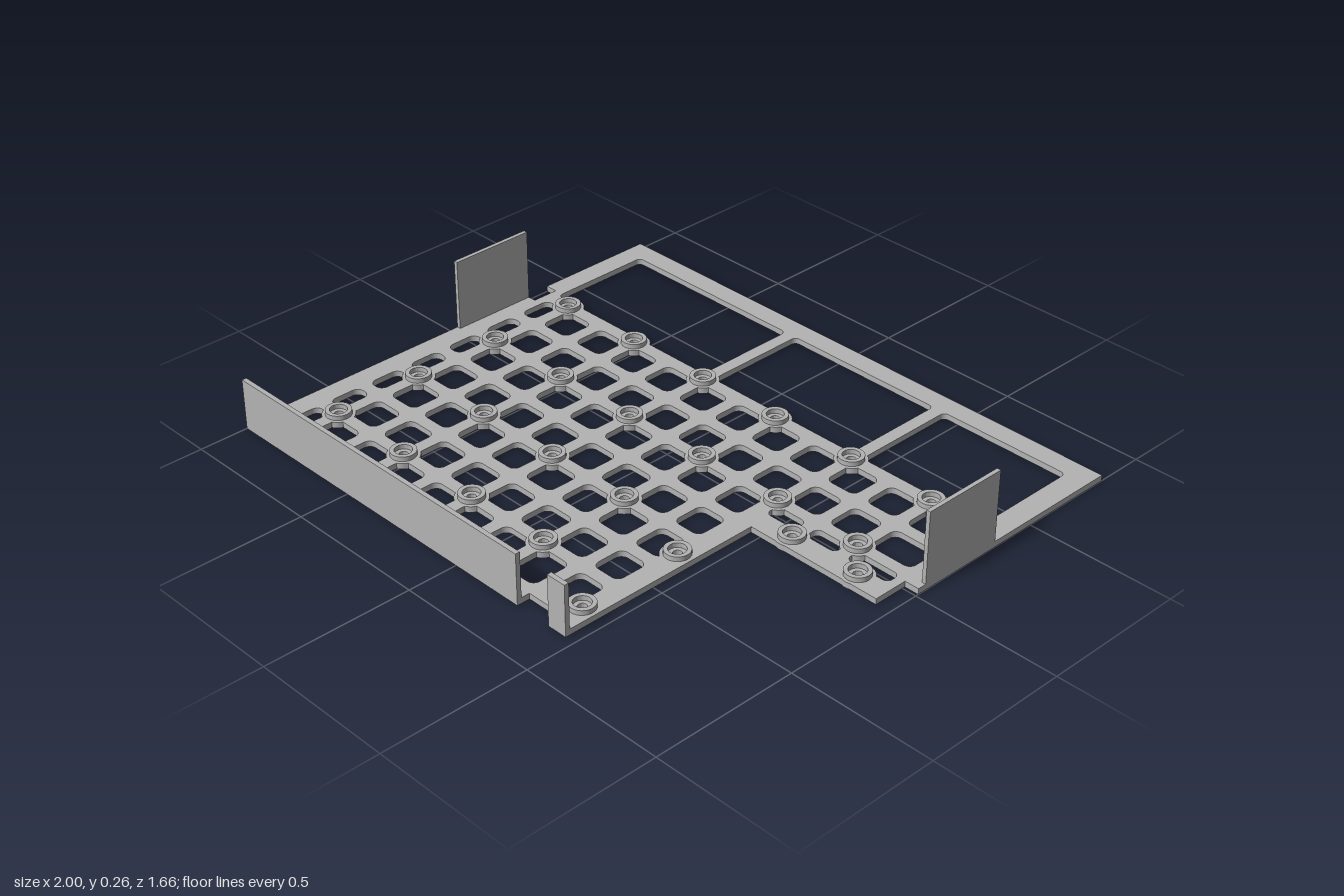
import * as THREE from 'three';
import { toCreasedNormals } from 'three/addons/utils/BufferGeometryUtils.js';

const T = 0.02; // plate thickness

// Rounded rectangular opening, given in plan (x, z)
function opening(x0, x1, z0, z1, r = 0.025) {
  const p = new THREE.Path();
  const a = -z1, b = -z0;
  p.moveTo(x0 + r, a);
  p.lineTo(x1 - r, a);
  p.absarc(x1 - r, a + r, r, -Math.PI / 2, 0);
  p.lineTo(x1, b - r);
  p.absarc(x1 - r, b - r, r, 0, Math.PI / 2);
  p.lineTo(x0 + r, b);
  p.absarc(x0 + r, b - r, r, Math.PI / 2, Math.PI);
  p.lineTo(x0, a + r);
  p.absarc(x0 + r, a + r, r, Math.PI, Math.PI * 1.5);
  return p;
}

export function createModel() {
  const group = new THREE.Group();
  const grey = new THREE.MeshStandardMaterial({ color: 0xb3b3b3 });
  grey.name = 'plain grey';

  const add = (name, geometry, x = 0, y = 0, z = 0) => {
    const mesh = new THREE.Mesh(geometry, grey);
    mesh.name = name;
    mesh.position.set(x, y, z);
    group.add(mesh);
  };

  // Screw positions (x, z): a regular grid plus four extras
  const screws = [[0.58, 0.06], [0.835, 0.06], [0.412, 0.355], [0.412, 0.72]];
  [-0.36, -0.043, 0.275, 0.592].forEach((z, row) => {
    for (let i = 0; i < (row < 2 ? 6 : 4); i++) screws.push([-0.847 + i * 0.3175, z]);
  });

  // Plate outline with notches
  const outline = [
    [-1, -0.833], [1, -0.833], [1, -0.01], [0.95, -0.01], [0.95, 0.11], [0.465, 0.11],
    [0.465, 0.83], [0.395, 0.83], [0.395, 0.785], [0.265, 0.785], [0.265, 0.83],
    [-1, 0.83], [-1, -0.31], [-0.957, -0.31], [-0.957, -0.403], [-1, -0.403],
  ];
  const shape = new THREE.Shape(outline.map(([x, z]) => new THREE.Vector2(x, -z)));

  // Large rear windows
  for (const [x0, x1] of [[-0.925, -0.235], [-0.19, 0.4], [0.445, 0.92]]) {
    shape.holes.push(opening(x0, x1, -0.76, -0.387, 0.018));
  }

  // Lattice of small openings
  const pitch = 0.1585, size = 0.114;
  for (let row = 0; row < 7; row++) {
    const z0 = -0.338 + row * pitch;
    const z1 = row === 6 ? 0.752 : z0 + size;
    const columns = row < 3 ? 11 : 8;
    for (let c = -1; c < columns; c++) {
      let x0 = -0.822 + c * pitch;
      let x1 = x0 + size;
      if (c === -1) x0 = -0.925;
      if (c === 7 && row > 1) x1 = 0.392;
      if (c === 10) x1 = 0.92;
      const shallow = row === 2 && c > 7;
      shape.holes.push(opening(x0, x1, z0, shallow ? 0.03 : z1, shallow ? 0.02 : 0.025));
    }
  }

  // Screw holes through the plate
  for (const [x, z] of screws) {
    const hole = new THREE.Path();
    hole.absarc(x, -z, 0.015, 0, Math.PI * 2);
    shape.holes.push(hole);
  }
  const plate = new THREE.ExtrudeGeometry(shape, { depth: T, bevelEnabled: false, curveSegments: 6 });
  plate.rotateX(-Math.PI / 2);
  add('latticePlate', plate);

  // Screw bosses: collar in the plate, raised ring and counterbore
  const profile = [
    [0.015, 0], [0.053, 0], [0.053, T], [0.042, T], [0.042, 0.036],
    [0.028, 0.036], [0.028, T], [0.015, T], [0.015, 0],
  ].map(([r, y]) => new THREE.Vector2(r, y));
  const boss = toCreasedNormals(new THREE.LatheGeometry(profile, 32), 0.6);
  for (const [x, z] of screws) add('screwBoss', boss, x, 0, z);

  // Upright walls at the front and the sides
  const wall = (name, x0, x1, h, z0, z1) =>
    add(name, new THREE.BoxGeometry(x1 - x0, h, z1 - z0), (x0 + x1) / 2, h / 2, (z0 + z1) / 2);
  wall('frontWall', -1, 0.265, 0.175, 0.814, 0.83);
  wall('frontTab', 0.395, 0.465, 0.175, 0.814, 0.83);
  wall('leftWall', 0.986, 1, 0.265, -0.34, -0.04);
  wall('rightWall', -1, -0.986, 0.265, -0.31, -0.012);

  return group;
}
